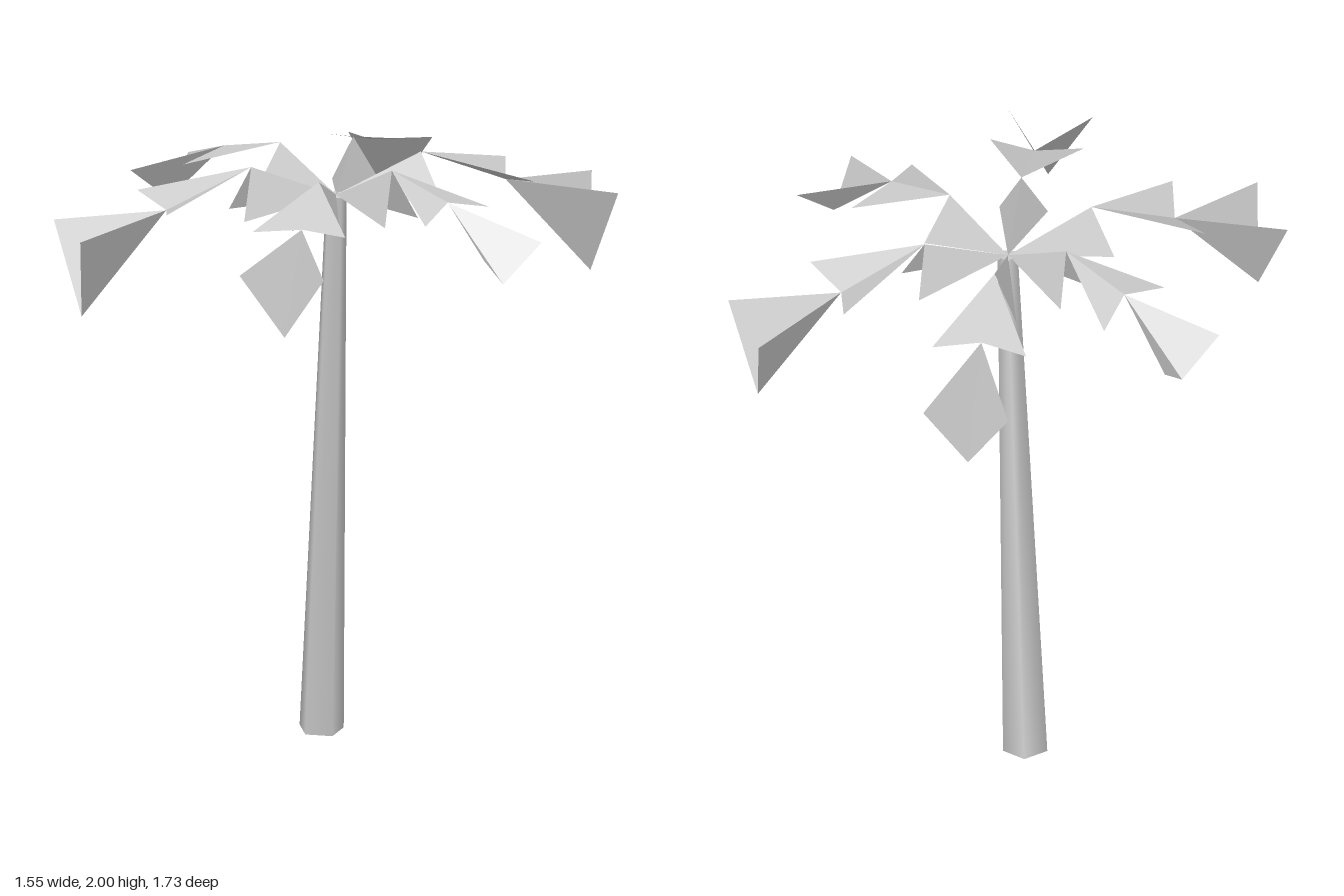
import * as THREE from 'three';

const grey = new THREE.MeshStandardMaterial({ color: 0xcccccc, side: THREE.DoubleSide });
grey.name = 'plain grey';

const CROWN = new THREE.Vector3(0, 1.87, 0);
const TIP_Y = [1.83, 1.9, 1.83];       // height of the side tips of each leaflet
const TIP_W = [0.08, 0.155, 0.14];     // half width of each leaflet

// One frond along +x: three folded arrowheads, each made of two triangles.
// ribs: [radius, height] of the midrib at the end of each leaflet
function makeFrond(ribs, sweep) {
  const p = [];
  let start = [0, CROWN.y, 0];
  ribs.forEach(([r, y], i) => {
    const end = [r, y, 0];
    const left = [r + sweep, TIP_Y[i], -TIP_W[i]];
    const right = [r + sweep, TIP_Y[i], TIP_W[i]];
    p.push(...start, ...end, ...left, ...start, ...right, ...end);
    start = end;
  });
  const g = new THREE.BufferGeometry();
  g.setAttribute('position', new THREE.Float32BufferAttribute(p, 3));
  g.computeVertexNormals();
  return g;
}

// Five-sided tapering trunk, leaning from its base to the crown
function makeTrunk() {
  const base = new THREE.Vector3(-0.153, 0.007, -0.096);
  const axis = CROWN.clone().sub(base);
  const trunk = new THREE.Mesh(new THREE.CylinderGeometry(0.035, 0.076, axis.length(), 5), grey);
  trunk.quaternion.setFromUnitVectors(new THREE.Vector3(0, 1, 0), axis.clone().normalize());
  trunk.position.copy(base).addScaledVector(axis, 0.5);
  trunk.name = 'trunk';
  return trunk;
}

export function createModel() {
  const model = new THREE.Group();
  model.name = 'palmTree';
  model.add(makeTrunk());

  // Three frond sizes, each used twice on opposite sides of the crown
  const fronds = new THREE.Group();
  fronds.name = 'fronds';
  const kinds = [
    { angle: 0, sweep: 0.042, ribs: [[0.245, 2], [0.49, 1.94], [0.733, 1.71]] },
    { angle: 60, sweep: 0.05, ribs: [[0.29, 1.99], [0.58, 1.87], [0.87, 1.535]] },
    { angle: 120, sweep: 0.045, ribs: [[0.267, 1.99], [0.533, 1.905], [0.8, 1.615]] },
  ];
  for (const { angle, sweep, ribs } of kinds) {
    const geometry = makeFrond(ribs, sweep);
    for (const turn of [0, 180]) {
      const frond = new THREE.Mesh(geometry, grey);
      frond.rotation.y = THREE.MathUtils.degToRad(angle + turn);
      frond.name = 'frond';
      fronds.add(frond);
    }
  }
  model.add(fronds);
  return model;
}
